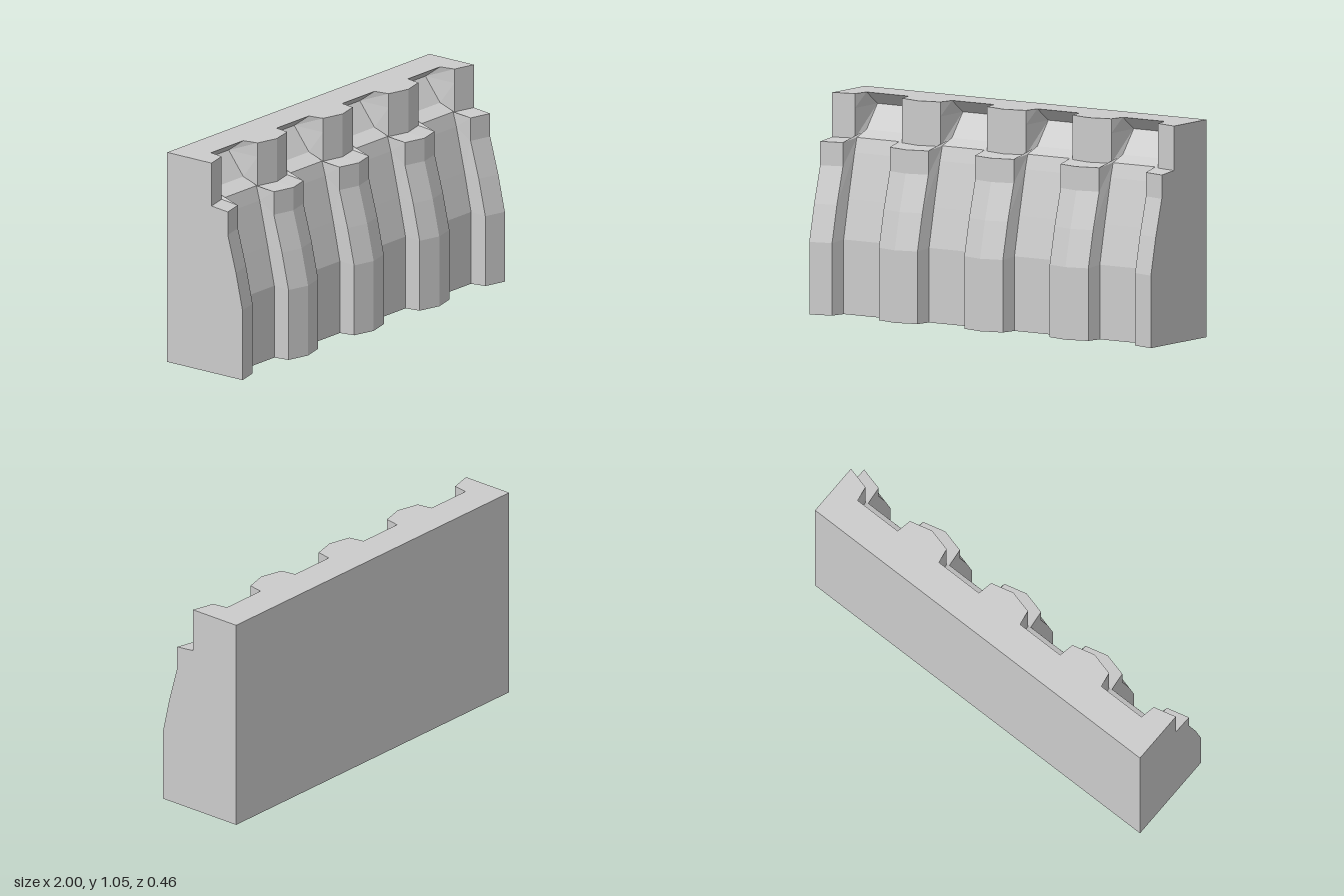
import * as THREE from 'three';

// Cross-sections as [z, y], running up the front face
const RIB = [[0.23, 0], [0.23, 0.35], [0.19, 0.53], [0.14, 0.71], [0.14, 0.825], [0.04, 0.835], [0.04, 0.98], [0.04, 1.05]];
const BAY = [[0.125, 0], [0.125, 0.36], [0.085, 0.55], [0.035, 0.77], [0.015, 0.84], [-0.065, 0.87], [-0.155, 0.985], [-0.065, 1.05]];
const BACK = [[-0.232, 1.05], [-0.232, 0]];
const RIB_EDGE = 0.113, BAY_EDGE = 0.127, SPACING = 0.5;

// Closed loop at one x position, with the front pushed back by an inset
function section(x, profile, inset = 0) {
  return [...profile.map(([z, y]) => [x, y, z - inset]), ...BACK.map(([z, y]) => [x, y, z])];
}

function loft(sections) {
  const pos = [];
  const tri = (a, b, c) => pos.push(...a, ...b, ...c);
  const n = sections[0].length;
  for (let s = 0; s < sections.length - 1; s++) {
    const p = sections[s], q = sections[s + 1];
    for (let i = 0; i < n; i++) {
      const j = (i + 1) % n;
      tri(p[i], q[i], q[j]);
      tri(p[i], q[j], p[j]);
    }
  }
  // End walls
  const first = sections[0], last = sections[sections.length - 1];
  const contour = first.map(([, y, z]) => new THREE.Vector2(z, y));
  for (const [a, b, c] of THREE.ShapeUtils.triangulateShape(contour, [])) {
    tri(first[a], first[b], first[c]);
    tri(last[a], last[c], last[b]);
  }
  const geometry = new THREE.BufferGeometry();
  geometry.setAttribute('position', new THREE.Float32BufferAttribute(pos, 3));
  geometry.computeVertexNormals();
  return geometry;
}

export function createModel() {
  const group = new THREE.Group();
  group.name = 'ribbedWall';

  // Pointed ribs every half unit, with recessed bays between them
  const sections = [section(-1, RIB)];
  for (let bay = 0; bay < 4; bay++) {
    const x0 = -1 + bay * SPACING, x1 = x0 + SPACING;
    sections.push(
      section(x0 + RIB_EDGE, RIB, 0.029),
      section(x0 + BAY_EDGE, BAY),
      section(x1 - BAY_EDGE, BAY),
      section(x1 - RIB_EDGE, RIB, 0.029),
      section(x1, RIB),
    );
  }

  const wall = new THREE.Mesh(
    loft(sections),
    new THREE.MeshStandardMaterial({ color: 0xcccccc, flatShading: true }),
  );
  wall.name = 'wallBlock';
  group.add(wall);
  return group;
}
